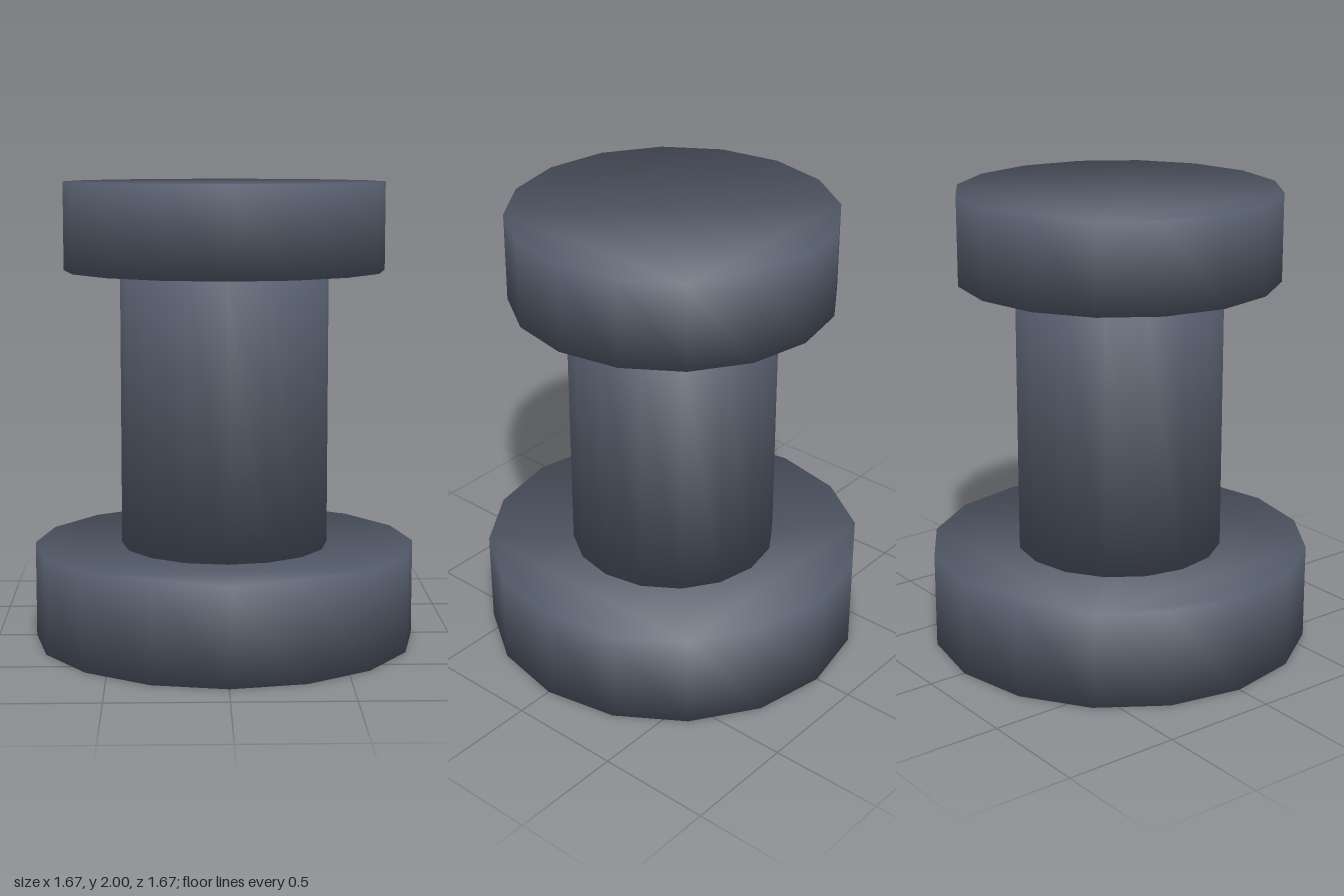
import * as THREE from 'three';

const SIDES = 16;

// Sixteen-sided drum from y0 to y1, with normals blended over its rims
function drum(name, radius, y0, y1, material) {
  const points = [];
  for (let i = 0; i < SIDES; i++) {
    const a = (i / SIDES) * Math.PI * 2;
    points.push(new THREE.Vector2(Math.cos(a) * radius, Math.sin(a) * radius));
  }
  const geometry = new THREE.ExtrudeGeometry(new THREE.Shape(points), {
    depth: y1 - y0, bevelEnabled: false, steps: 1,
  });
  geometry.rotateX(-Math.PI / 2).translate(0, y0, 0);

  // Every rim normal leans halfway between the side and the flat end
  const { position, normal } = geometry.attributes;
  const n = new THREE.Vector3();
  const middle = (y0 + y1) / 2;
  for (let i = 0; i < position.count; i++) {
    n.set(position.getX(i) / radius, Math.sign(position.getY(i) - middle), position.getZ(i) / radius);
    n.normalize();
    normal.setXYZ(i, n.x, n.y, n.z);
  }
  const mesh = new THREE.Mesh(geometry, material);
  mesh.name = name;
  return mesh;
}

export function createModel() {
  const group = new THREE.Group();
  group.name = 'bollard';
  const material = new THREE.MeshStandardMaterial({ color: 0x545b6a });
  group.add(
    drum('base', 0.833, 0, 0.42, material),
    drum('column', 0.452, 0.42, 1.62, material),
    drum('head', 0.695, 1.62, 2, material),
  );
  return group;
}
